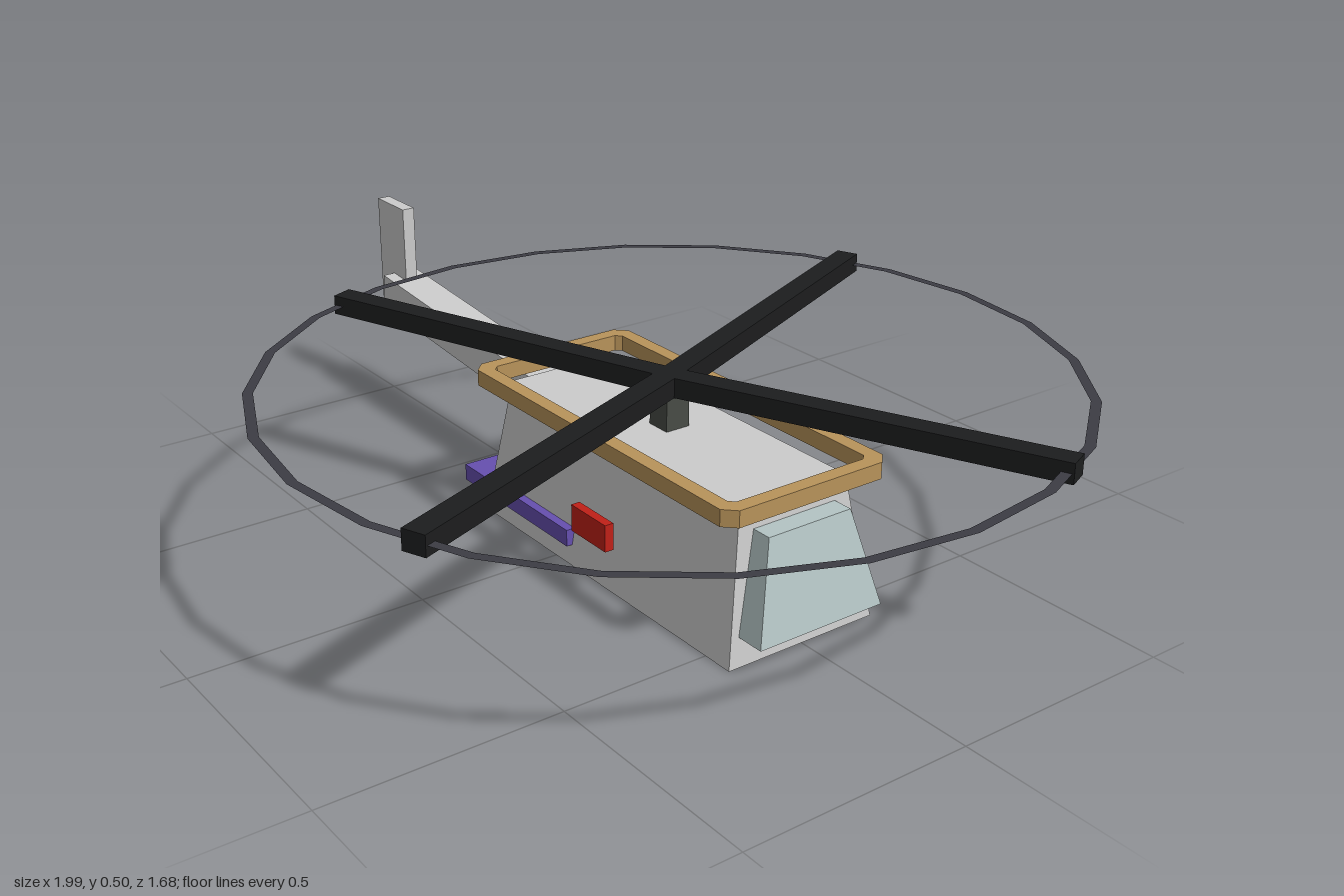
import * as THREE from 'three';

const mat = (color) => new THREE.MeshStandardMaterial({ color, flatShading: true });
const GREY = 0xcccccc, CENTER_X = 0.15;

export function createModel() {
  const model = new THREE.Group();
  model.name = 'helicopter';

  function add(name, geometry, color, x = 0, y = 0, z = 0, parent = model) {
    const mesh = new THREE.Mesh(geometry, mat(color));
    mesh.name = name;
    mesh.position.set(x, y, z);
    parent.add(mesh);
    return mesh;
  }
  const box = (name, color, [x0, x1], [y0, y1], [z0, z1]) =>
    add(name, new THREE.BoxGeometry(x1 - x0, y1 - y0, z1 - z0), color,
      (x0 + x1) / 2, (y0 + y1) / 2, (z0 + z1) / 2);

  // Box whose upper and lower corners are placed separately: [x0, x1, half depth]
  function taperedBox(y0, y1, low, high) {
    const g = new THREE.BoxGeometry(1, 1, 1);
    const p = g.attributes.position;
    for (let i = 0; i < p.count; i++) {
      const up = p.getY(i) > 0;
      const [x0, x1, d] = up ? high : low;
      p.setXYZ(i, p.getX(i) > 0 ? x1 : x0, up ? y1 : y0, Math.sign(p.getZ(i)) * d);
    }
    g.computeVertexNormals();
    return g;
  }

  // Rectangle with cut corners
  function cutRectangle(w, d, c, Type) {
    const points = [[w - c, -d], [w, c - d], [w, d - c], [w - c, d],
      [c - w, d], [-w, d - c], [-w, c - d], [c - w, -d]];
    return new Type(points.map(([x, y]) => new THREE.Vector2(x, y)));
  }

  // Cabin and sloping windshield
  add('cabin', taperedBox(0, 0.305, [-0.27, 0.57, 0.178], [-0.23, 0.53, 0.13]), GREY);
  add('windshield', taperedBox(0.06, 0.26, [0.545, 0.625, 0.15], [0.52, 0.58, 0.1]), 0xb4c4c4);

  // Raised roof rim
  const rim = cutRectangle(0.432, 0.198, 0.025, THREE.Shape);
  rim.holes.push(cutRectangle(0.4, 0.166, 0.012, THREE.Path));
  const rimGeometry = new THREE.ExtrudeGeometry(rim, { depth: 0.035, bevelEnabled: false });
  rimGeometry.rotateX(-Math.PI / 2);
  add('roofRim', rimGeometry, 0xb8935a, CENTER_X, 0.302, 0);

  // Tail
  const boom = add('tailBoom', new THREE.BoxGeometry(0.74, 0.083, 0.09), GREY, -0.572, 0.253, 0);
  boom.rotation.z = -0.085;
  box('tailFin', GREY, [-1, -0.88], [0.243, 0.5], [-0.015, 0.015]);

  // Lower stabiliser and side lights
  box('stabiliser', 0x6650b0, [-0.345, 0.05], [0.043, 0.08], [-0.185, 0.185]);
  box('leftLight', 0xc02018, [0.09, 0.207], [0.101, 0.16], [0.18, 0.2]);
  box('rightLight', 0x3f8a40, [0.09, 0.207], [0.101, 0.16], [-0.2, -0.18]);

  // Rotor: mast, four slightly raised blades, flat guard ring
  box('rotorMast', 0x484c46, [0.122, 0.178], [0.305, 0.4], [-0.028, 0.028]);
  const rotor = new THREE.Group();
  rotor.name = 'rotor';
  rotor.position.set(CENTER_X, 0.398, 0);
  model.add(rotor);
  for (let i = 0; i < 4; i++) {
    const arm = new THREE.Group();
    arm.name = 'bladeArm';
    arm.rotation.y = 0.395 + i * Math.PI / 2;
    rotor.add(arm);
    const blade = add('rotorBlade', new THREE.BoxGeometry(0.835, 0.042, 0.05), 0x1c1d1e,
      0.4175, 0.006, 0, arm);
    blade.rotation.z = 0.015;
  }
  const ring = new THREE.RingGeometry(0.817, 0.838, 24);
  ring.rotateX(-Math.PI / 2);
  const guard = add('guardRing', ring, 0x3c3c44, 0, 0.012, 0, rotor);
  guard.material.side = THREE.DoubleSide;

  return model;
}
